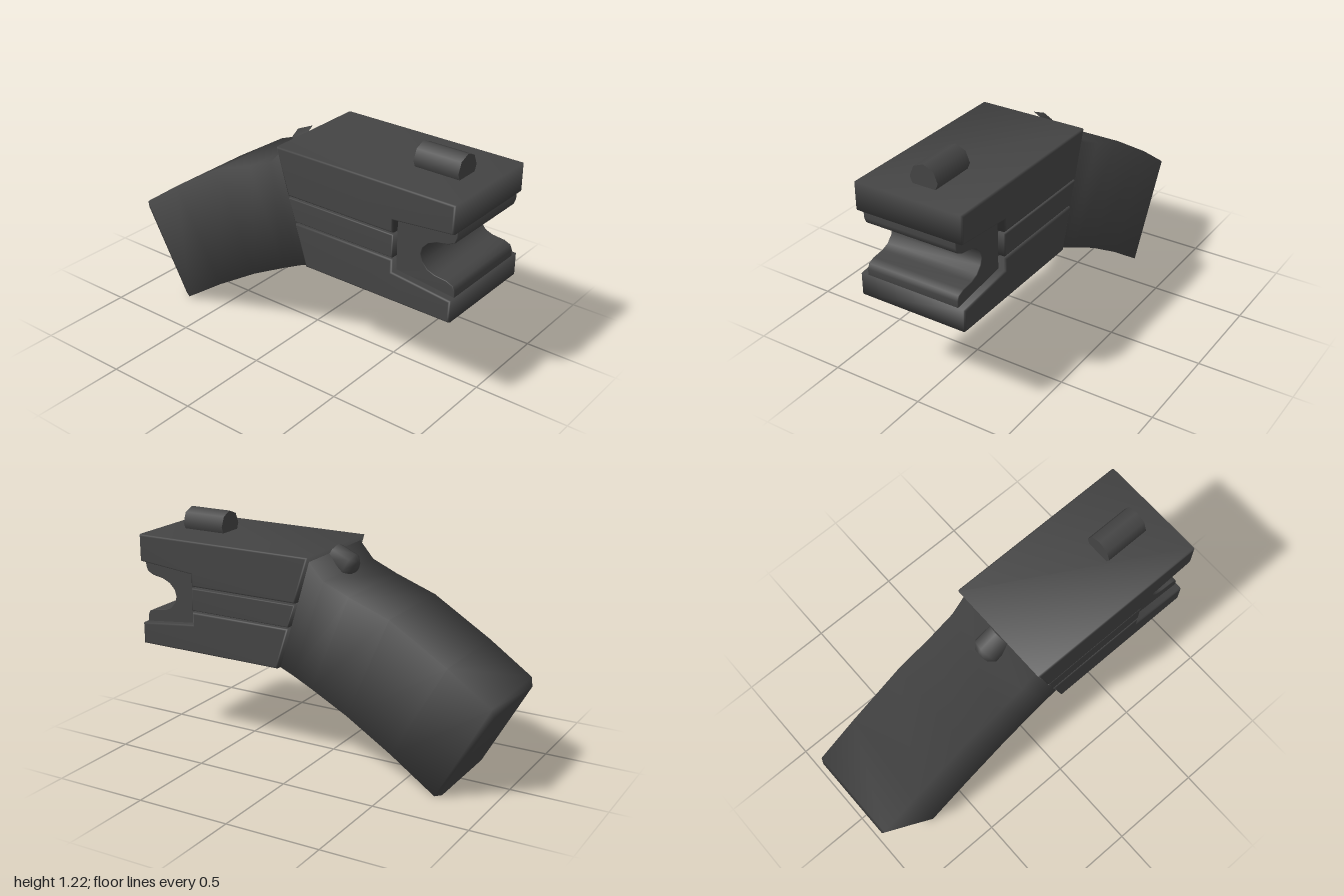
import * as THREE from 'three';
import { mergeVertices } from 'three/addons/utils/BufferGeometryUtils.js';

const dark = new THREE.MeshStandardMaterial({ color: 0x444444 });
dark.name = 'darkGrey';

function add(group, name, geometry) {
  const mesh = new THREE.Mesh(geometry, dark);
  mesh.name = name;
  group.add(mesh);
  return mesh;
}

// Share vertices so the normals run softly over the edges
function soften(geometry) {
  geometry.deleteAttribute('normal');
  geometry.deleteAttribute('uv');
  const merged = mergeVertices(geometry, 1e-4);
  merged.computeVertexNormals();
  return merged;
}

// Side profile extruded between -halfWidth and +halfWidth with a small rounded edge
function plate(points, halfWidth, bevel) {
  const shape = new THREE.Shape(points.map(([x, y]) => new THREE.Vector2(x, y)));
  const depth = 2 * (halfWidth - bevel);
  const geometry = new THREE.ExtrudeGeometry(shape, {
    depth, bevelEnabled: true, bevelThickness: bevel, bevelSize: bevel,
    bevelOffset: -bevel, bevelSegments: 2,
  });
  geometry.translate(0, 0, -depth / 2);
  return soften(geometry);
}

// Grip lofted from rectangles: [topX, topY, bottomX, bottomY, halfWidth]
function gripGeometry() {
  const stations = [
    [-1, 0.465, -0.745, 0.012, 0.24],
    [-0.99, 0.51, -0.71, 0.004, 0.255],
    [-0.76, 0.67, -0.47, 0.17, 0.255],
    [-0.45, 0.86, -0.22, 0.325, 0.255],
    [-0.23, 0.94, -0.02, 0.43, 0.255],
    [-0.09, 1.0, 0.09, 0.485, 0.257],
    [-0.01, 1.09, 0.18, 0.525, 0.26],
    [0.08, 1.09, 0.25, 0.54, 0.25],
  ];
  const positions = [];
  const index = [0, 1, 2, 0, 2, 3];
  stations.forEach(([tx, ty, bx, by, w], i) => {
    positions.push(tx, ty, w, tx, ty, -w, bx, by, -w, bx, by, w);
    if (i === stations.length - 1) return;
    for (let k = 0; k < 4; k++) {
      const a = i * 4 + k;
      const b = i * 4 + (k + 1) % 4;
      index.push(a, a + 4, b + 4, a, b + 4, b);
    }
  });
  const geometry = new THREE.BufferGeometry();
  geometry.setAttribute('position', new THREE.Float32BufferAttribute(positions, 3));
  geometry.setIndex(index);
  geometry.computeVertexNormals();
  return geometry;
}

export function createModel() {
  const model = new THREE.Group();
  model.name = 'pistolGrip';

  add(model, 'grip', gripGeometry());

  // Narrow core with the rounded notch in its end
  add(model, 'headCore', plate([
    [0, 1.1], [0.996, 1.1], [0.996, 0.94], [0.985, 0.91], [0.95, 0.892], [0.89, 0.882],
    [0.845, 0.862], [0.815, 0.83], [0.805, 0.795], [0.815, 0.76], [0.845, 0.727],
    [0.885, 0.712], [0.95, 0.705], [0.985, 0.69], [0.996, 0.665], [0.996, 0.53], [0.18, 0.53],
  ], 0.256, 0.004));

  // Wide upper and lower bodies, cut back beside the notch
  add(model, 'upperBody', plate([
    [-0.02, 1.115], [1, 1.115], [1, 0.97], [0.675, 0.94], [0.675, 0.875], [0.052, 0.875],
  ], 0.297, 0.01));
  add(model, 'lowerBody', plate([
    [0.095, 0.737], [0.675, 0.737], [0.675, 0.67], [1, 0.633], [1, 0.518], [0.16, 0.518],
  ], 0.297, 0.01));

  // Raised rib on both sides between two thin slits
  add(model, 'sideRib', plate([
    [0.055, 0.866], [0.675, 0.866], [0.675, 0.746], [0.092, 0.746],
  ], 0.295, 0.006));

  // Eight-sided sight lying along the top
  const sight = add(model, 'topSight', new THREE.CylinderGeometry(0.077, 0.077, 0.245, 8));
  sight.rotation.z = -Math.PI / 2;
  sight.position.set(0.75, 1.148, 0);

  // Tilted button behind the head, with a domed end
  const profile = [[0, 0.08], [0.045, 0.075], [0.075, 0.045], [0.075, -0.06]]
    .map(([r, y]) => new THREE.Vector2(r, y)).reverse();
  const button = add(model, 'rearButton', new THREE.LatheGeometry(profile, 8));
  button.rotation.z = Math.PI / 2 + 0.42;
  button.position.set(-0.055, 1.035, 0);

  return model;
}
